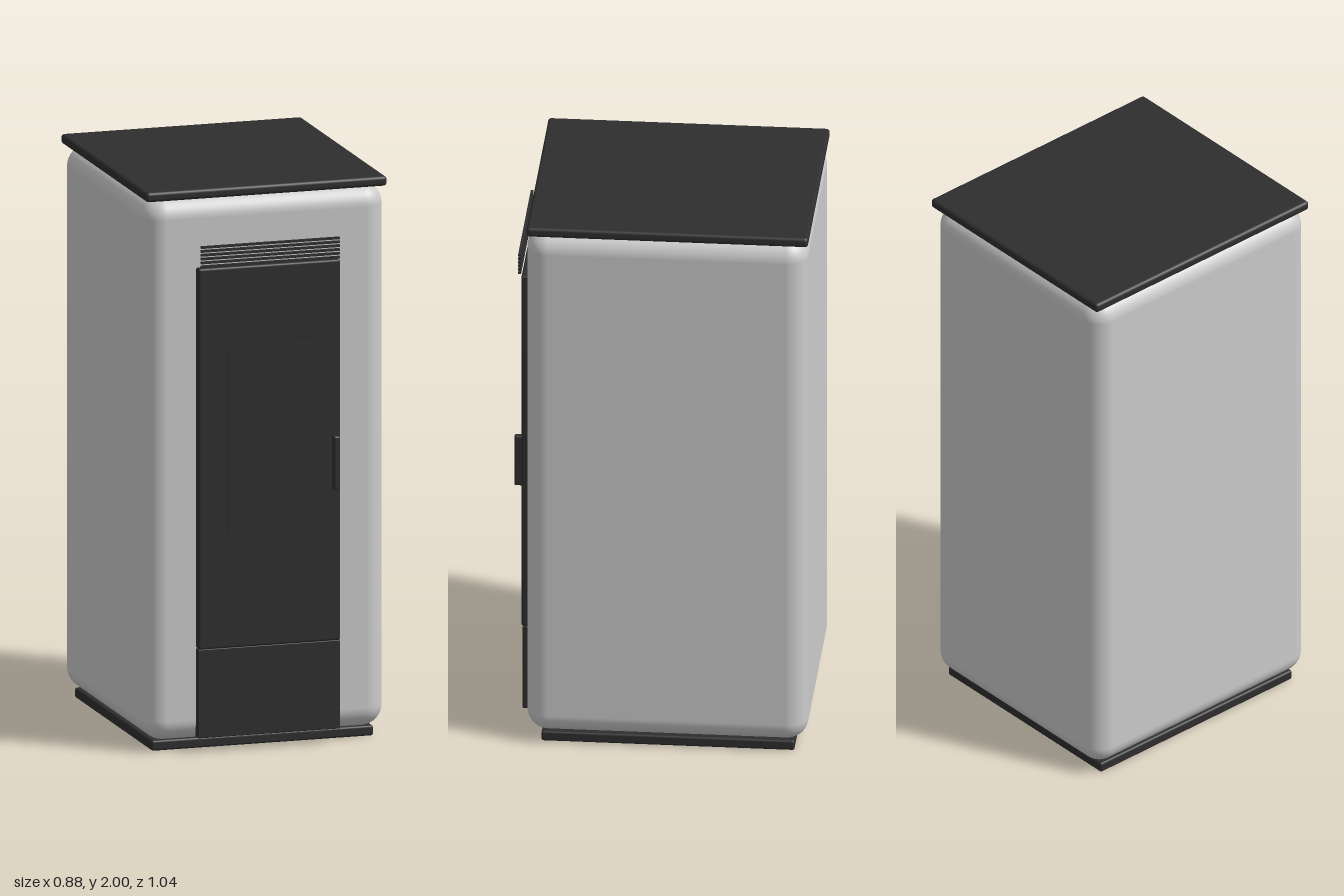
import * as THREE from 'three';
import { RoundedBoxGeometry } from 'three/addons/geometries/RoundedBoxGeometry.js';

export function createModel() {
  const model = new THREE.Group();
  model.name = 'stove';
  const shell = new THREE.MeshStandardMaterial({ color: 0xcccccc });
  shell.name = 'light grey enamel';
  const iron = new THREE.MeshStandardMaterial({ color: 0x2e2e2e });
  iron.name = 'black iron';

  // Box given by its limits on each axis, with optional rounded edges
  function block(name, material, [x0, x1], [y0, y1], [z0, z1], radius = 0, segments = 3) {
    const w = x1 - x0, h = y1 - y0, d = z1 - z0;
    const geometry = radius
      ? new RoundedBoxGeometry(w, h, d, segments, radius)
      : new THREE.BoxGeometry(w, h, d);
    const mesh = new THREE.Mesh(geometry, material);
    mesh.name = name;
    mesh.position.set((x0 + x1) / 2, (y0 + y1) / 2, (z0 + z1) / 2);
    model.add(mesh);
  }

  // Cabinet between lid and plinth
  block('body', shell, [-0.438, 0.436], [0.038, 1.972], [-0.516, 0.464], 0.075, 8);
  block('lid', iron, [-0.44, 0.438], [1.965, 2], [-0.52, 0.461], 0.012);
  block('base', iron, [-0.405, 0.403], [0, 0.037], [-0.47, 0.412], 0.008);

  // Front door and the drawer panel below it
  block('door', iron, [-0.26, 0.257], [0.368, 1.724], [0.455, 0.495], 0.008);
  block('drawerPanel', iron, [-0.26, 0.257], [0.052, 0.368], [0.455, 0.49], 0.003);
  block('window', iron, [-0.156, 0.151], [0.775, 1.435], [0.494, 0.502]);
  block('handle', iron, [0.225, 0.249], [0.908, 1.1], [0.49, 0.52], 0.007);

  // Air grille: thin slats standing in line with the door face
  for (let i = 0; i < 6; i++) {
    const y = 1.734 + i * 0.0137;
    block('grilleSlat', iron, [-0.254, 0.251], [y - 0.004, y + 0.004], [0.496, 0.506]);
  }
  return model;
}
